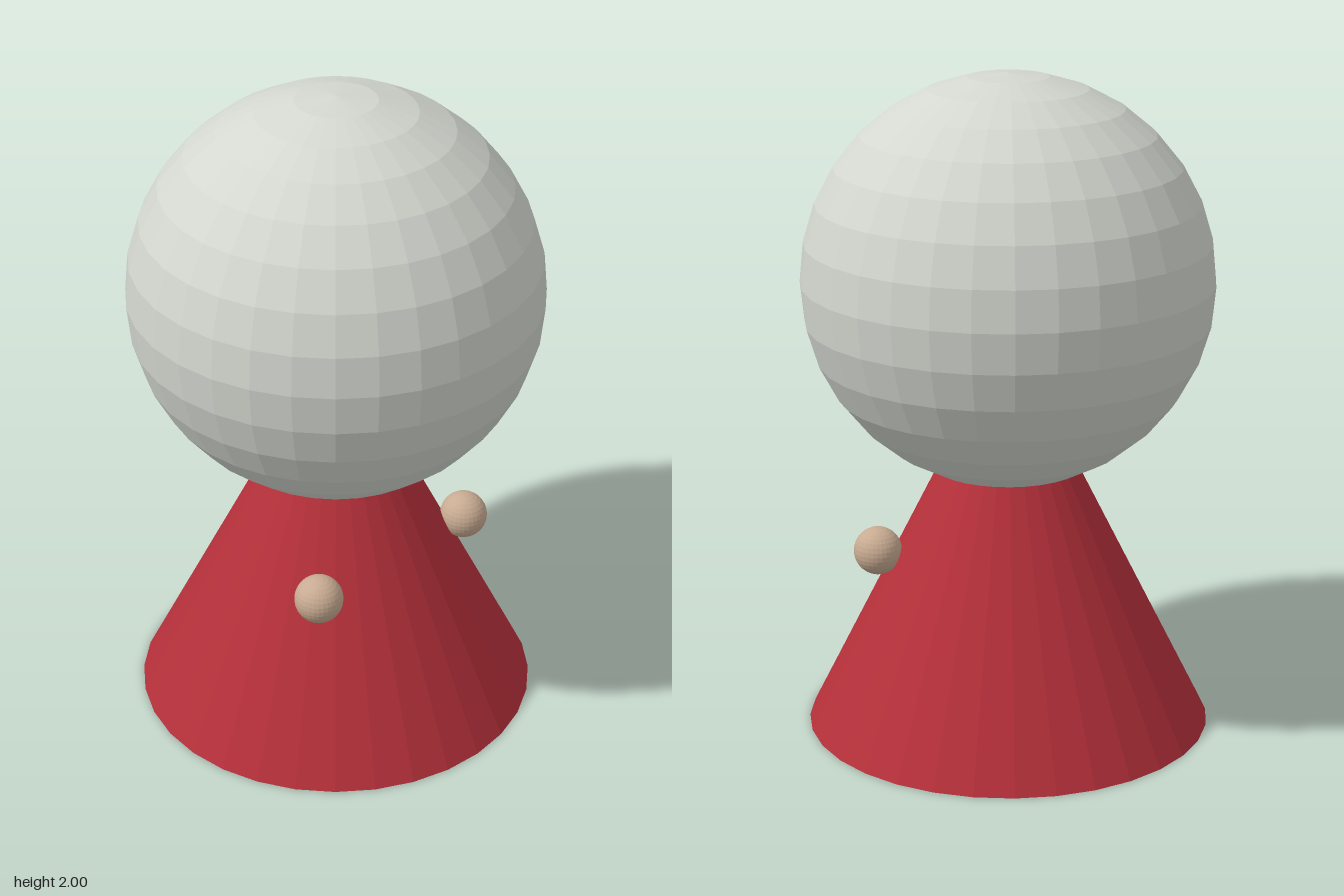
import * as THREE from 'three';

const flat = (name, color) => {
  const m = new THREE.MeshStandardMaterial({ color, flatShading: true });
  m.name = name;
  return m;
};

export function createModel() {
  const group = new THREE.Group();
  const grey = flat('paleGrey', 0xd3d7cf);
  const red = flat('red', 0xb5303a);
  const tan = flat('tan', 0xc8ab92);

  const add = (name, geometry, material, x, y, z) => {
    const mesh = new THREE.Mesh(geometry, material);
    mesh.name = name;
    mesh.position.set(x, y, z);
    group.add(mesh);
  };

  // Cone body, its tip hidden inside the head
  const R = 0.615;
  add('body', new THREE.ConeGeometry(R, 2 * R, 32), red, 0, R, 0);

  // Large round head
  add('head', new THREE.SphereGeometry(R, 32, 16), grey, 0, 2 - R, 0);

  // Small ball hands, set forward on each side
  const hand = new THREE.SphereGeometry(0.073, 32, 16);
  add('leftHand', hand, tan, 0.315, 0.557, 0.245);
  add('rightHand', hand, tan, -0.315, 0.557, 0.245);

  return group;
}
